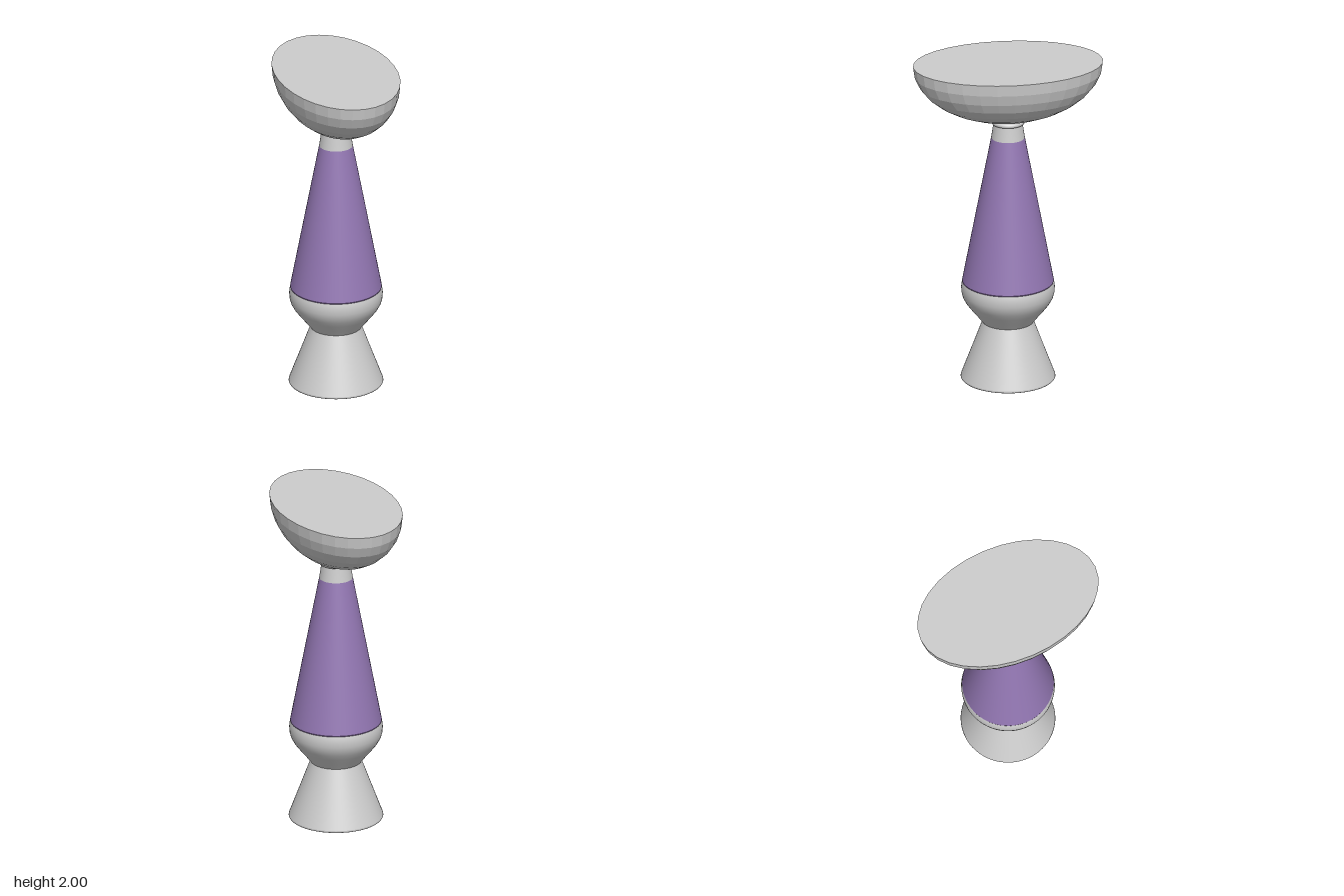
import * as THREE from 'three';

export function createModel() {
  const group = new THREE.Group();
  const metal = new THREE.MeshStandardMaterial({ color: 0xcccccc, side: THREE.DoubleSide });
  metal.name = 'light grey metal';
  const purple = new THREE.MeshStandardMaterial({ color: 0x9377b3 });
  purple.name = 'purple glass';

  const add = (name, geometry, material) => {
    const mesh = new THREE.Mesh(geometry, material);
    mesh.name = name;
    group.add(mesh);
    return mesh;
  };
  // Turned part from [radius, height] points, bottom to top
  const turned = (name, points, material) =>
    add(name, new THREE.LatheGeometry(points.map(([r, y]) => new THREE.Vector2(r, y)), 64), material);

  // Hollow foot with a thin rounded rim
  turned('footRim', [[0.268, 0.004], [0.272, 0], [0.278, 0.002], [0.281, 0.007], [0.28, 0.014]], metal);
  turned('foot', [[0.28, 0.014], [0.216, 0.185], [0.152, 0.358]], metal);

  // Bulging cup that holds the glass
  turned('cup', [
    [0.152, 0.358], [0.185, 0.4], [0.222, 0.445], [0.25, 0.482], [0.268, 0.515],
    [0.276, 0.545], [0.278, 0.575], [0.275, 0.6], [0.27, 0.616],
  ], metal);

  // Tapered glass with a softened lower edge
  turned('glassEdge', [[0.262, 0.609], [0.27, 0.612], [0.272, 0.62]], purple);
  turned('glass', [[0.272, 0.62], [0.186, 1.075], [0.1, 1.53]], purple);

  // Neck cap and its rolled lip
  turned('neckCap', [[0.1, 1.53], [0.093, 1.575], [0.087, 1.618]], metal);
  turned('neckLip', [
    [0.087, 1.618], [0.097, 1.622], [0.101, 1.631], [0.098, 1.641], [0.088, 1.646], [0, 1.646],
  ], metal);

  // Faceted oval bowl: lower half of an ellipsoid
  const shell = new THREE.SphereGeometry(1, 32, 8, 0, Math.PI * 2, Math.PI / 2, Math.PI / 2);
  shell.scale(0.36, 0.36, 0.568);
  const faceted = shell.toNonIndexed();
  faceted.computeVertexNormals();
  add('bowl', faceted, metal).position.y = 2;

  // Flat lid closing the bowl
  const lid = new THREE.CircleGeometry(1, 32);
  lid.rotateX(-Math.PI / 2);
  lid.scale(0.36, 1, 0.568);
  add('bowlLid', lid, metal).position.y = 2;

  return group;
}
